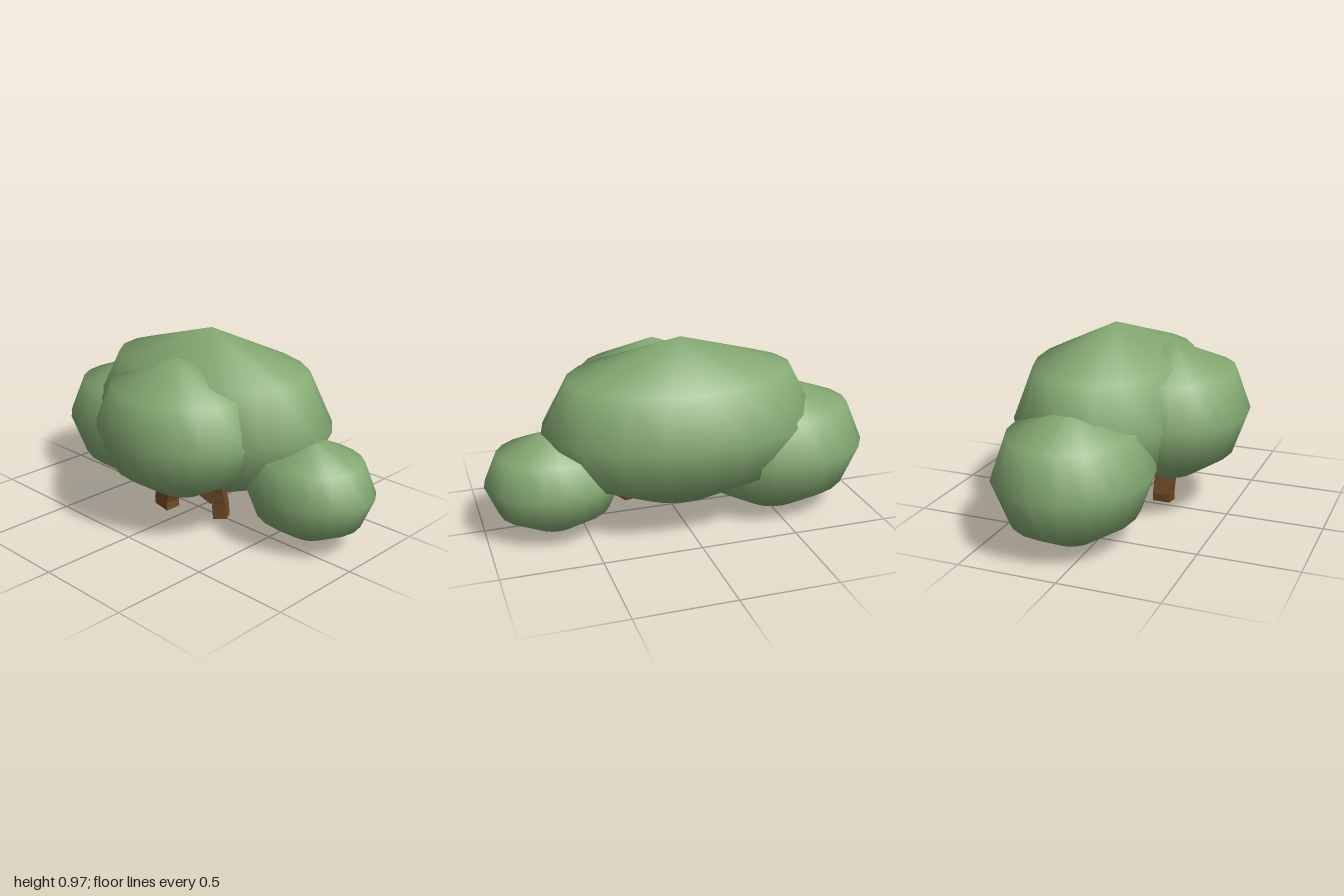
import * as THREE from 'three';

const leafMaterial = new THREE.MeshStandardMaterial({ color: 0x86ab73 });
const barkMaterial = new THREE.MeshStandardMaterial({ color: 0x6b4826, flatShading: true });

// Unit sphere with few rings: pointed crown, rounded underside
function foliageGeometry() {
  const profile = [180, 162, 126, 90, 54, 0].map((deg) => {
    const a = THREE.MathUtils.degToRad(deg);
    return new THREE.Vector2(Math.max(0, Math.sin(a)), Math.cos(a));
  });
  const geometry = new THREE.LatheGeometry(profile, 20);
  // Radial normals keep the clump smooth
  const { position, normal } = geometry.attributes;
  const v = new THREE.Vector3();
  for (let i = 0; i < position.count; i++) {
    v.fromBufferAttribute(position, i).normalize();
    normal.setXYZ(i, v.x, v.y, v.z);
  }
  return geometry;
}

// Square stem whose box rows follow a list of points, bottom first
function stem(name, path, width, twist, tilt = 0) {
  const rows = path.length - 1;
  const geometry = new THREE.BoxGeometry(width, 1, width, 1, rows, 1);
  const position = geometry.attributes.position;
  const v = new THREE.Vector3();
  const up = new THREE.Vector3(0, 1, 0);
  for (let i = 0; i < position.count; i++) {
    v.fromBufferAttribute(position, i);
    const row = Math.round((v.y + 0.5) * rows);
    v.setY(0).applyAxisAngle(up, twist);
    v.y = v.x * tilt;
    v.add(new THREE.Vector3(...path[row]));
    position.setXYZ(i, v.x, v.y, v.z);
  }
  geometry.computeVertexNormals();
  const mesh = new THREE.Mesh(geometry, barkMaterial);
  mesh.name = name;
  return mesh;
}

export function createModel() {
  const bush = new THREE.Group();
  bush.name = 'bush';

  // Leaf clumps: name, centre, radii
  const leaf = foliageGeometry();
  const clumps = [
    ['mainFoliage', [-0.01, 0.545, -0.107], [0.715, 0.43, 0.468]],
    ['frontFoliage', [0.05, 0.535, 0.19], [0.46, 0.355, 0.385]],
    ['rightFoliage', [-0.535, 0.36, -0.11], [0.465, 0.355, 0.385]],
    ['leftFoliage', [0.652, 0.3, -0.11], [0.346, 0.265, 0.287]],
  ];
  for (const [name, centre, radii] of clumps) {
    const mesh = new THREE.Mesh(leaf, leafMaterial);
    mesh.name = name;
    mesh.position.set(...centre);
    mesh.scale.set(...radii);
    bush.add(mesh);
  }

  // Short stems rising into the leaves
  bush.add(
    stem('rightStem', [[-0.057, 0.058, 0.175], [-0.06, 0.1, 0.175], [-0.02, 0.23, 0.175], [0.02, 0.35, 0.17]], 0.088, 0, -0.18),
    stem('leftStem', [[0.235, 0.05, 0.07], [0.225, 0.135, 0.07], [0.215, 0.26, 0.1], [0.2, 0.36, 0.12]], 0.07, 0.5, 0.15),
    stem('leftBranch', [[0.225, 0.14, 0.08], [0.15, 0.21, 0.13], [0.06, 0.29, 0.17]], 0.07, 0.5, 0.5),
  );
  return bush;
}
